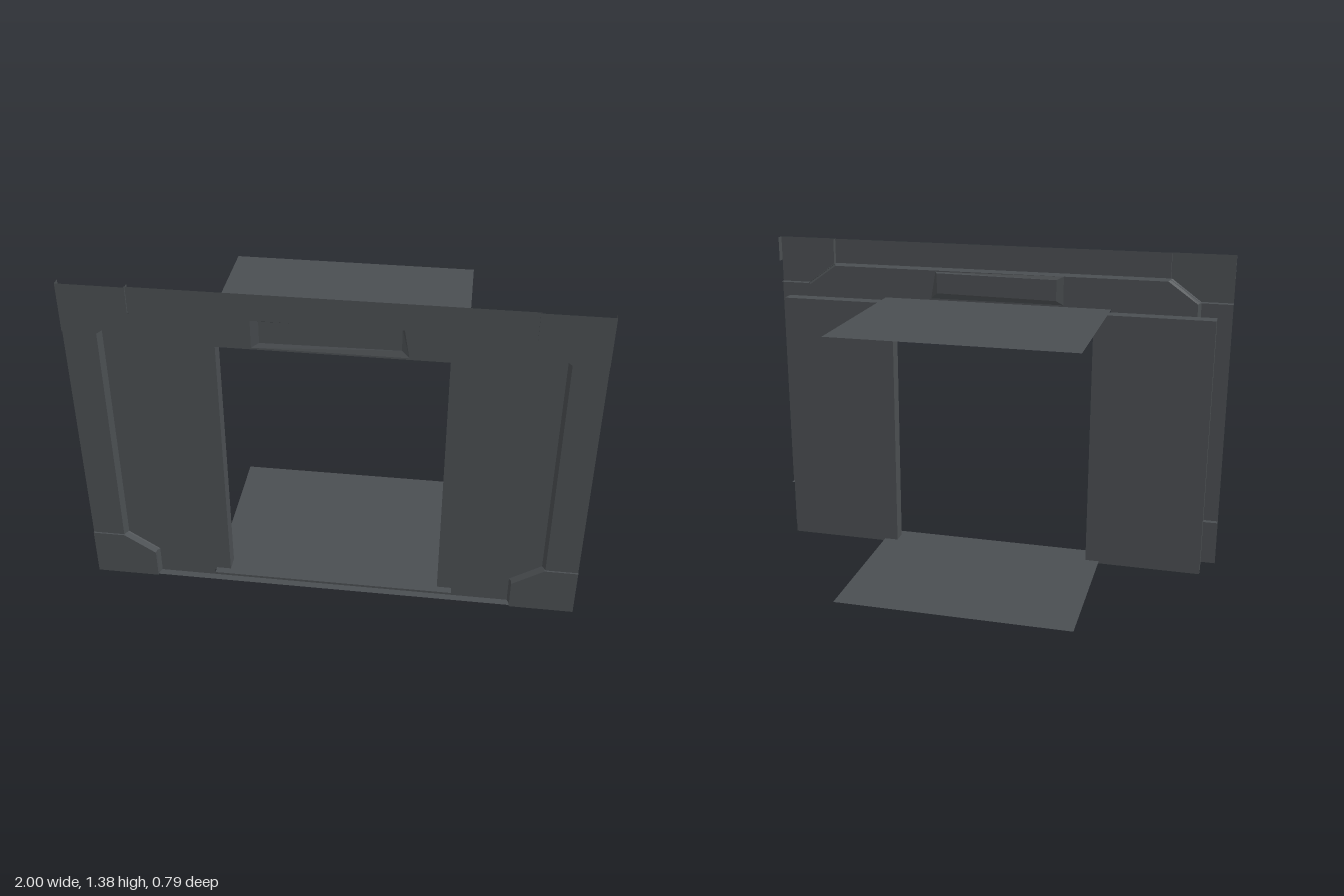
import * as THREE from 'three';

const metal = new THREE.MeshStandardMaterial({ color: 0x4a4e51, side: THREE.DoubleSide });
metal.name = 'darkMetal';

const BACK = 0.355, STRIP = 0.385, RAISED = 0.392;

export function createModel() {
  const group = new THREE.Group();

  const add = (name, geometry) => {
    const mesh = new THREE.Mesh(geometry, metal);
    mesh.name = name;
    group.add(mesh);
    return mesh;
  };
  const toShape = (pts) => new THREE.Shape(pts.map(([x, y]) => new THREE.Vector2(x, y)));

  // Flat sheet facing the front, with optional holes
  const sheet = (name, pts, z, holes = []) => {
    const shape = toShape(pts);
    holes.forEach((h) => shape.holes.push(toShape(h)));
    return add(name, new THREE.ShapeGeometry(shape).translate(0, 0, z));
  };

  // Strip of flat quads joining two matching paths at different depths
  const wall = (name, a, za, b, zb) => {
    const pos = [];
    for (let i = 0; i < a.length - 1; i++) {
      const p = [...a[i], za], q = [...a[i + 1], za];
      const r = [...b[i + 1], zb], s = [...b[i], zb];
      pos.push(...p, ...q, ...r, ...p, ...r, ...s);
    }
    const g = new THREE.BufferGeometry();
    g.setAttribute('position', new THREE.Float32BufferAttribute(pos, 3));
    g.computeVertexNormals();
    return add(name, g);
  };

  const rect = (x0, y0, x1, y1) => [[x0, y0], [x1, y0], [x1, y1], [x0, y1]];
  const mirrored = (pts, s) => pts.map(([x, y]) => [x * s, y]);
  const bothSides = (pts) => [...pts, ...mirrored(pts, -1).reverse()];

  // Outline of the raised border and the recessed panel inside it
  const rim = bothSides([[0.745, 0], [0.745, 0.125], [0.87, 0.205], [0.87, 1.175], [0.745, 1.268]]);
  const foot = bothSides([[0.732, 0], [0.732, 0.118], [0.858, 0.2], [0.858, 1.17], [0.732, 1.26]]);
  wall('borderBevel', rim, STRIP, foot, BACK);

  // Recessed wall panel with the doorway and the sign recess cut out
  const signOuter = [[-0.295, 1.137], [0.29, 1.137], [0.27, 1.255], [-0.295, 1.26]];
  const signInner = [[-0.265, 1.155], [0.262, 1.162], [0.262, 1.25], [-0.265, 1.245]];
  sheet('wallPanel', foot, BACK, [rect(-0.5, 0.01, 0.5, 1.13), signOuter]);
  sheet('signFace', signInner, 0.347);
  wall('signBevel', [...signOuter, signOuter[0]], BACK, [...signInner, signInner[0]], 0.347);

  // Top and bottom strips
  sheet('topStrip', rect(-0.745, 1.268, 0.745, 1.375), STRIP);
  wall('sill', [[-0.74, 0], [0.74, 0]], BACK, [[-0.74, 0], [0.74, 0]], STRIP);

  for (const s of [1, -1]) {
    const side = s > 0 ? 'left' : 'right';

    // Side strip and raised corner brackets
    sheet(side + 'SideStrip', mirrored(rect(0.87, 0.205, 1, 1.175), s), STRIP);
    const lower = mirrored([[0.74, 0], [0.74, 0.123], [0.867, 0.205], [1, 0.205], [1, 0]], s);
    const upper = mirrored([[0.74, 1.375], [0.74, 1.266], [0.867, 1.175], [1, 1.175], [1, 1.375]], s);
    for (const [name, pts] of [['LowerBracket', lower], ['UpperBracket', upper]]) {
      sheet(side + name, pts, RAISED);
      wall(side + name + 'Edge', pts.slice(0, 4), RAISED, pts.slice(0, 4), 0.362);
    }
    const end = mirrored([[1, 1.27], [1, 1.375]], s);
    wall(side + 'BracketReturn', end, RAISED, end, 0.36);

    // Sliding door leaf, drawn back behind the wall
    add(side + 'Door', new THREE.BoxGeometry(0.5, 1.125, 0.062)).position.set(s * 0.69, 0.5625, 0.293);
  }

  // Floor and ceiling sheets behind the doorway
  for (const [name, y] of [['floor', 0.01], ['ceiling', 1.13]]) {
    add(name, new THREE.PlaneGeometry(1, 0.755).rotateX(-Math.PI / 2)).position.set(0, y, -0.0225);
  }

  return group;
}
